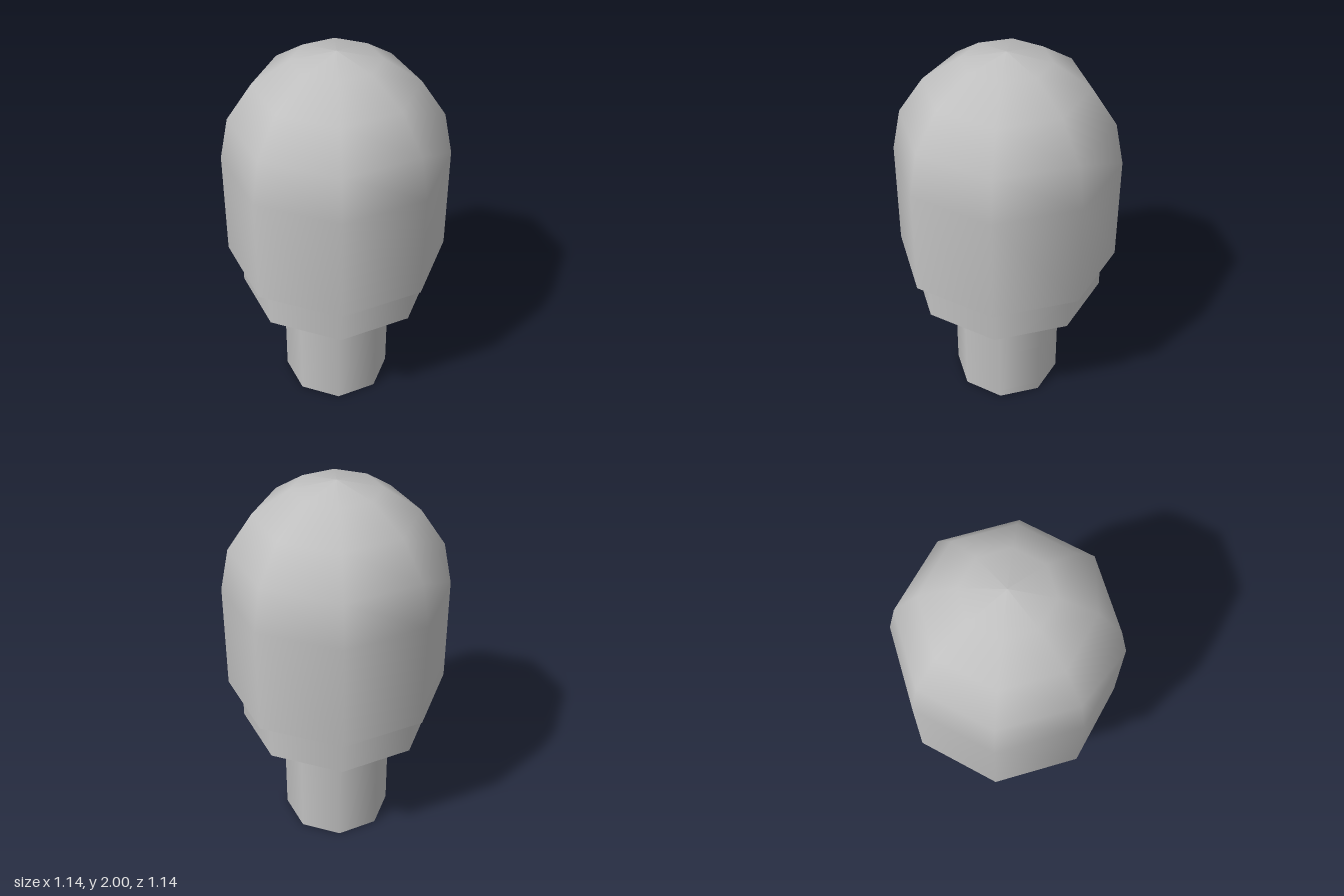
import * as THREE from 'three';

const SIDES = 8;

export function createModel() {
  const model = new THREE.Group();
  model.name = 'domedPeg';
  const grey = new THREE.MeshStandardMaterial({ color: 0xc0c0c0 });
  grey.name = 'grey';

  const add = (name, geometry, y) => {
    const mesh = new THREE.Mesh(geometry, grey);
    mesh.name = name;
    mesh.position.y = y;
    model.add(mesh);
  };
  const prism = (name, radius, bottom, top) =>
    add(name, new THREE.CylinderGeometry(radius, radius, top - bottom, SIDES), (bottom + top) / 2);

  // Stem and collar
  prism('stem', 0.285, 0, 0.65);
  prism('collar', 0.5, 0.645, 0.87);

  // Domed head: straight wall running smoothly into a quarter-circle cap
  const R = 0.57, bottom = 0.865, shoulder = 1.43;
  const profile = [new THREE.Vector2(R, bottom)];
  for (let i = 0; i <= 4; i++) {
    const a = (i * Math.PI) / 8;
    profile.push(new THREE.Vector2(i === 4 ? 0 : R * Math.cos(a), shoulder + R * Math.sin(a)));
  }
  add('head', new THREE.LatheGeometry(profile, SIDES), 0);

  // Flat underside of the head, turned to match its corners
  const underside = new THREE.CircleGeometry(R, SIDES);
  underside.rotateX(Math.PI / 2);
  add('headUnderside', underside, bottom);

  return model;
}
